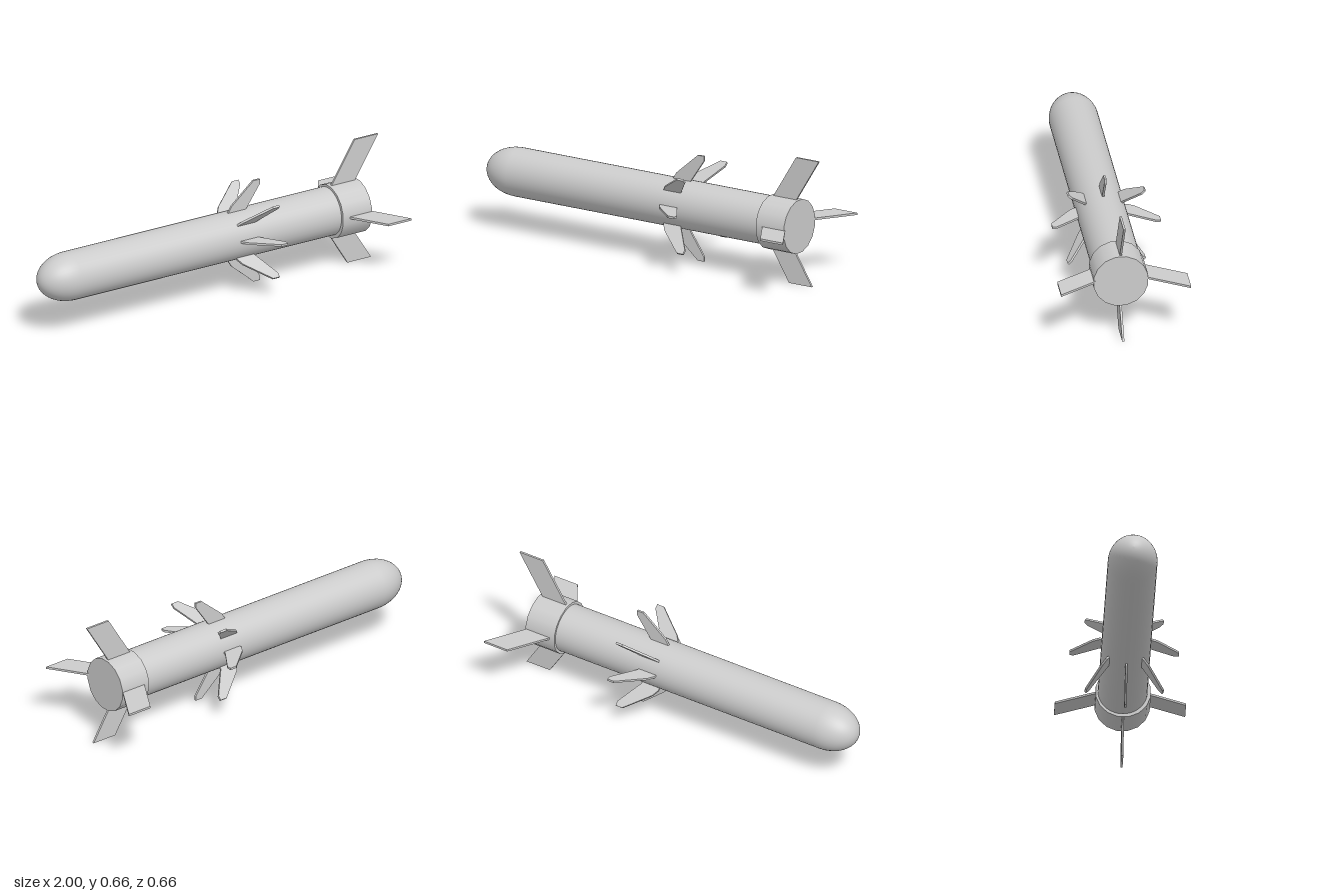
import * as THREE from 'three';

const material = new THREE.MeshStandardMaterial({ color: 0xcccccc });

function addMesh(parent, name, geometry) {
  const mesh = new THREE.Mesh(geometry, material);
  mesh.name = name;
  parent.add(mesh);
  return mesh;
}

// Thin plate from an outline of [x, distance from axis], turned about the x axis.
// angle 0 points up, +90 degrees points to +z.
function addFin(parent, name, outline, thickness, angle, y, z) {
  const shape = new THREE.Shape(outline.map(([x, r]) => new THREE.Vector2(x, r)));
  const geometry = new THREE.ExtrudeGeometry(shape, { depth: thickness, bevelEnabled: false });
  geometry.translate(0, 0, -thickness / 2);
  const fin = addMesh(parent, name, geometry);
  fin.rotation.x = angle;
  fin.position.set(0, y, z);
}

export function createModel() {
  const model = new THREE.Group();
  model.name = 'finnedCylinder';

  // Long tube with an elliptical nose pointing to -x
  const radius = 0.1245, noseLength = 0.18;
  const profile = [new THREE.Vector2(radius, -0.75)];
  for (let i = 0; i <= 14; i++) {
    const a = (i / 14) * Math.PI / 2;
    profile.push(new THREE.Vector2(
      i === 14 ? 0 : radius * Math.cos(a), 1 - noseLength + noseLength * Math.sin(a)));
  }
  const body = addMesh(model, 'body', new THREE.LatheGeometry(profile, 40).rotateZ(Math.PI / 2));
  body.position.set(0, 0.304, 0.006);

  // Sixteen-sided tail collar, flat on top
  const collar = addMesh(model, 'tailCollar',
    new THREE.CylinderGeometry(0.14, 0.14, 0.17, 16, 1, false, Math.PI / 16).rotateZ(Math.PI / 2));
  collar.position.set(0.795, 0.302, 0.009);

  // Eight swept middle fins
  const midOutline = [
    [0.115, 0.1], [0.217, 0.1], [0.217, 0.125], [0.303, 0.25],
    [0.303, 0.274], [0.265, 0.274], [0.136, 0.163], [0.115, 0.13],
  ];
  const middleFins = new THREE.Group();
  middleFins.name = 'middleFins';
  model.add(middleFins);
  for (let i = 0; i < 8; i++) {
    const y = i % 4 === 2 ? 0.314 : 0.298;
    const z = i % 4 === 0 ? 0.006 : 0;
    addFin(middleFins, `middleFin${i + 1}`, midOutline, 0.011, i * Math.PI / 4, y, z);
  }

  // Four swept tail fins: tip distance from the axis and tip leading edge
  const tailFins = new THREE.Group();
  tailFins.name = 'tailFins';
  model.add(tailFins);
  const rootRadius = 0.11, chord = 0.138, sweep = 0.62;
  const tails = [
    { tip: 0.355, lead: 0.862, y: 0.304, z: 0.008 },
    { tip: 0.328, lead: 0.862, y: 0.307, z: 0 },
    { tip: 0.304, lead: 0.82, y: 0.304, z: 0.008 },
    { tip: 0.328, lead: 0.862, y: 0.307, z: 0 },
  ];
  tails.forEach(({ tip, lead, y, z }, i) => {
    const root = lead - (tip - rootRadius) * sweep;
    const outline = [[root, rootRadius], [root + chord, rootRadius], [lead + chord, tip], [lead, tip]];
    addFin(tailFins, `tailFin${i + 1}`, outline, 0.011, i * Math.PI / 2, y, z);
  });

  return model;
}
